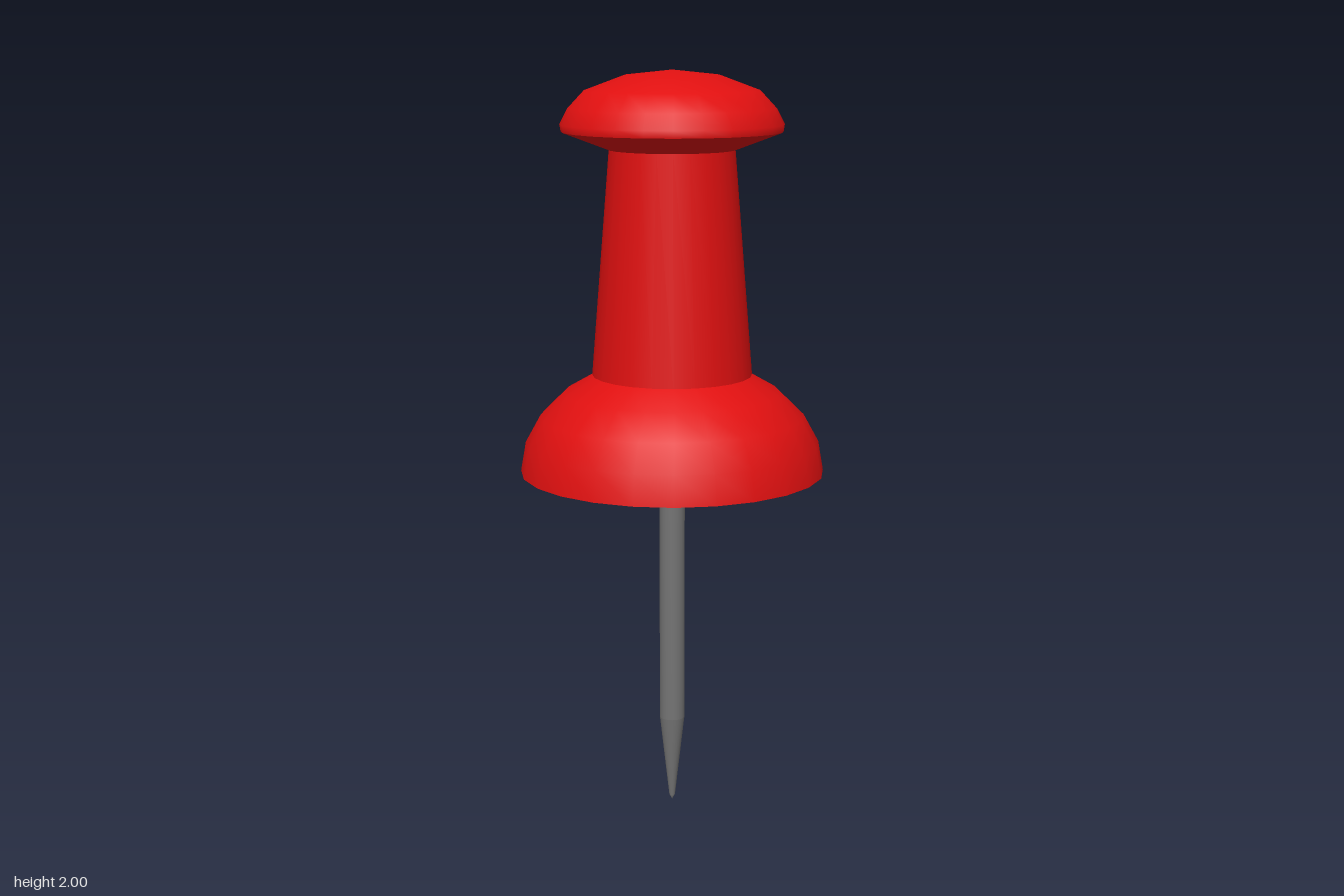
import * as THREE from 'three';

const SIDES = 24;

export function createModel() {
  const red = new THREE.MeshStandardMaterial({ color: 0xe01010 });
  red.name = 'red plastic';
  const grey = new THREE.MeshStandardMaterial({ color: 0x747474 });
  grey.name = 'grey steel';

  const group = new THREE.Group();
  group.name = 'pushPin';

  // Turns a bottom-to-top [radius, height] profile around the y axis
  function turned(name, profile, material) {
    const points = profile.map(([r, y]) => new THREE.Vector2(r, y));
    const mesh = new THREE.Mesh(new THREE.LatheGeometry(points, SIDES), material);
    mesh.name = name;
    group.add(mesh);
  }

  // Steel needle: tapered point, then straight shaft
  turned('needlePoint', [[0, 0], [0.008, 0.015], [0.034, 0.245]], grey);
  turned('needleShaft', [[0.034, 0.245], [0.034, 0.96]], grey);

  // Flared collar: elliptical dome with a flat underside
  const dome = [];
  for (let i = 0; i <= 4; i++) {
    const a = (i * Math.PI) / 12;
    dome.push([0.405 * Math.cos(a), 0.945 + 0.304 * Math.sin(a)]);
  }
  turned('collar', dome, red);
  turned('collarUnderside', [[0, 0.945], [0.405, 0.945]], red);

  // Tapered grip
  turned('grip', [[0.212, 1.207], [0.164, 1.8]], red);

  // Mushroom head: conical underside and low dome
  turned('headUnderside', [[0.15, 1.795], [0.166, 1.797], [0.288, 1.843]], red);
  turned('head', [
    [0.288, 1.843], [0.291, 1.862], [0.27, 1.902], [0.227, 1.948],
    [0.122, 1.987], [0, 2],
  ], red);

  return group;
}
